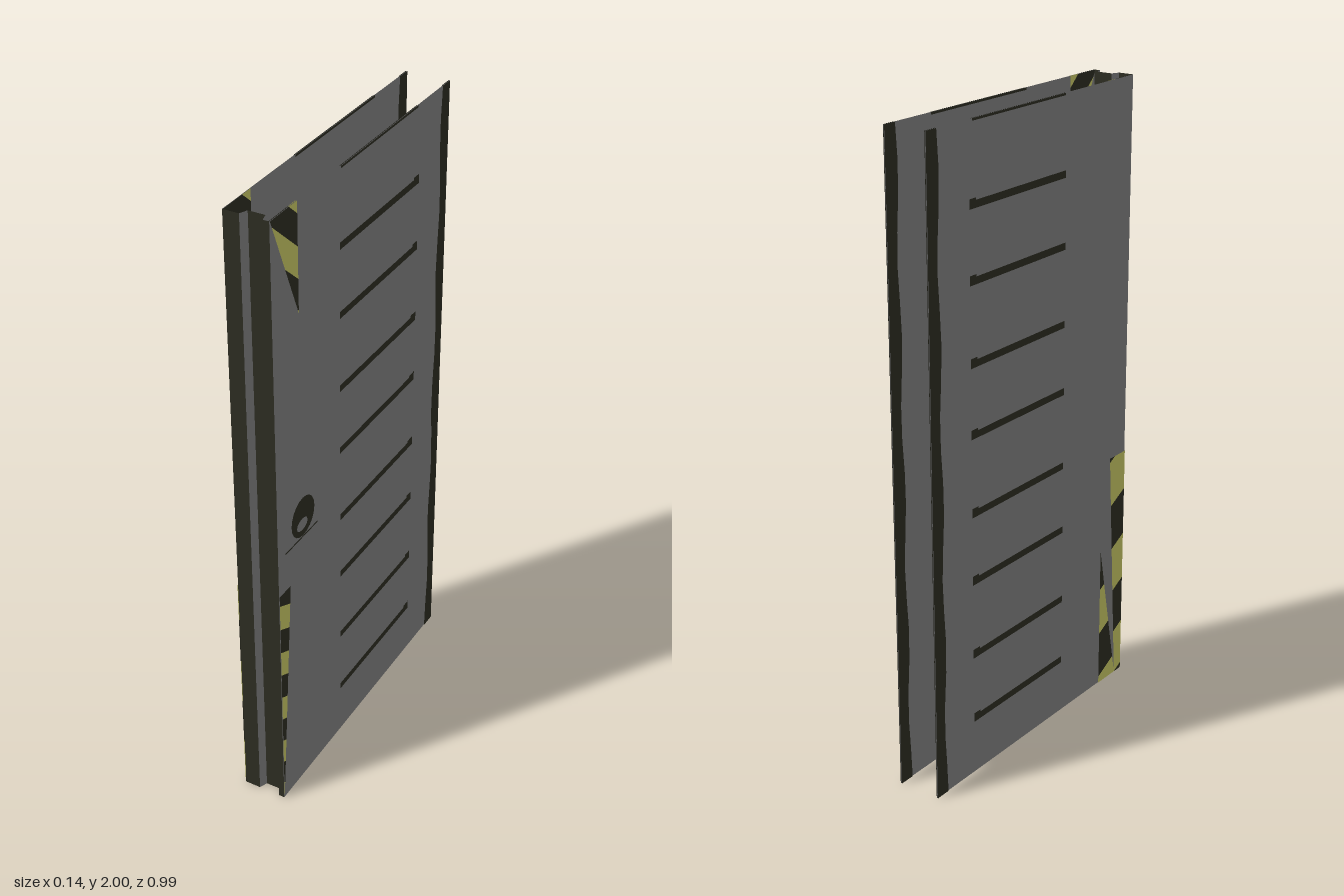
import * as THREE from 'three';

const mat = (name, color) => {
  const m = new THREE.MeshStandardMaterial({ color, side: THREE.DoubleSide });
  m.name = name;
  return m;
};

// Keeps the part of a convex polygon where f(point) >= 0
function clip(poly, f) {
  const out = [];
  poly.forEach((p, i) => {
    const q = poly[(i + 1) % poly.length], a = f(p), b = f(q);
    if (a >= 0) out.push(p);
    if ((a >= 0) !== (b >= 0)) {
      const t = a / (a - b);
      out.push([p[0] + (q[0] - p[0]) * t, p[1] + (q[1] - p[1]) * t]);
    }
  });
  return out;
}

export function createModel() {
  const steel = mat('steelGray', 0x828282);
  const dark = mat('darkTrim', 0x2d2d22);
  const yellow = mat('hazardYellow', 0xcaca66);
  const model = new THREE.Group();
  model.name = 'slidingDoor';
  const Z = 0.497;

  // Flat plate in the side plane: points are [z, y]
  function plate(parent, name, material, x, points, holes = []) {
    const shape = new THREE.Shape(points.map((p) => new THREE.Vector2(...p)));
    holes.forEach((h) => shape.holes.push(new THREE.Path(h.map((p) => new THREE.Vector2(...p)))));
    const geo = new THREE.ShapeGeometry(shape);
    geo.rotateY(-Math.PI / 2); // shape x -> z
    geo.translate(x, 0, 0);
    const mesh = new THREE.Mesh(geo, material);
    mesh.name = name;
    parent.add(mesh);
    return mesh;
  }
  const rect = (z0, z1, y0, y1) => [[z0, y0], [z1, y0], [z1, y1], [z0, y1]];
  const circle = (z, y, rz, ry, n = 20) => Array.from({ length: n }, (_, i) => {
    const a = (i / n) * Math.PI * 2;
    return [z + rz * Math.cos(a), y + ry * Math.sin(a)];
  });

  // Diagonal yellow and dark bands inside a convex outline
  function hazard(parent, name, x, poly, slope, period, start) {
    const s = (p) => p[1] - slope * p[0];
    const values = poly.map(s), lo = Math.min(...values), hi = Math.max(...values);
    let k = Math.floor((lo - start) / (period / 2));
    for (; start + (k * period) / 2 < hi; k++) {
      const a = start + (k * period) / 2, b = a + period / 2;
      const band = clip(clip(poly, (p) => s(p) - a), (p) => b - s(p));
      if (band.length > 2) plate(parent, name, k % 2 === 0 ? yellow : dark, x, band);
    }
  }

  const slatHeights = [0.185, 0.4, 0.64, 0.855, 1.097, 1.55, 1.31, 1.765];

  // Painted details for one face of a panel
  function details(parent, x, flipped, withLatch) {
    slatHeights.forEach((y) => {
      plate(parent, 'slat', dark, x, rect(-0.315, 0.145, y - 0.011, y + 0.011));
      plate(parent, 'slatEnd', dark, x, rect(-0.315, -0.285, y, y + 0.018));
    });
    plate(parent, 'topSlatEdge', dark, x, rect(-0.3, 0.14, 1.993, 2));

    // Worn dark strip along the rear edge
    const edge = [[-Z, 0], [-Z, 2]];
    for (let i = 20; i >= 0; i--) edge.push([-0.451 + 0.006 * Math.cos(i * 1.35), i / 10]);
    plate(parent, 'rearEdgeStrip', dark, x, edge);

    if (flipped) {
      hazard(parent, 'lowerHazardStripe', x, [[Z, 0], [Z, 0.79], [0.41, 0.79], [0.46, 0]], 0.5, 0.32, 0.41);
      hazard(parent, 'bottomHazardCorner', x, [[0.365, 0], [0.46, 0], [0.365, 0.48]], 0.5, 0.32, 0.0);
    } else {
      hazard(parent, 'lowerHazardStripe', x, [[Z, 0], [Z, 0.8], [0.435, 0.8]], 0.5, 0.175, 0.43);
      hazard(parent, 'topHazardCorner', x, [[Z, 2], [0.365, 2], [0.365, 1.67]], 0.9, 0.19, 1.445);
    }
    if (withLatch) {
      plate(parent, 'latchRing', dark, x, circle(0.36, 1, 0.064, 0.066), [circle(0.365, 0.975, 0.03, 0.02, 12)]);
      plate(parent, 'latchLine', dark, x, rect(0.28, 0.46, 0.928, 0.933));
    }
  }

  // Two thin side panels, open at the top, bottom and rear
  for (const side of [1, -1]) {
    const panel = new THREE.Group();
    panel.name = side > 0 ? 'leftPanel' : 'rightPanel';
    plate(panel, 'panelSheet', steel, side * 0.069, rect(-Z, Z, 0, 2));
    details(panel, side * 0.071, side < 0, side > 0);
    details(panel, side * 0.067, false, false);
    model.add(panel);
  }

  // Front edge: dark strips with a shallow groove and bare bevels
  const profile = [[-0.069, Z], [-0.019, Z], [-0.009, 0.472], [0.043, 0.472], [0.05, Z], [0.069, Z]];
  const front = new THREE.Group();
  front.name = 'frontEdge';
  for (let i = 0; i < profile.length - 1; i++) {
    const [x0, z0] = profile[i], [x1, z1] = profile[i + 1];
    const geo = new THREE.PlaneGeometry(Math.hypot(x1 - x0, z1 - z0), 2);
    geo.rotateY(Math.atan2(z0 - z1, x1 - x0));
    geo.translate((x0 + x1) / 2, 1, (z0 + z1) / 2);
    const bevel = i % 2 === 1;
    const strip = new THREE.Mesh(geo, bevel ? steel : dark);
    strip.name = bevel ? 'grooveBevel' : 'edgeStrip';
    front.add(strip);
  }
  model.add(front);
  return model;
}
